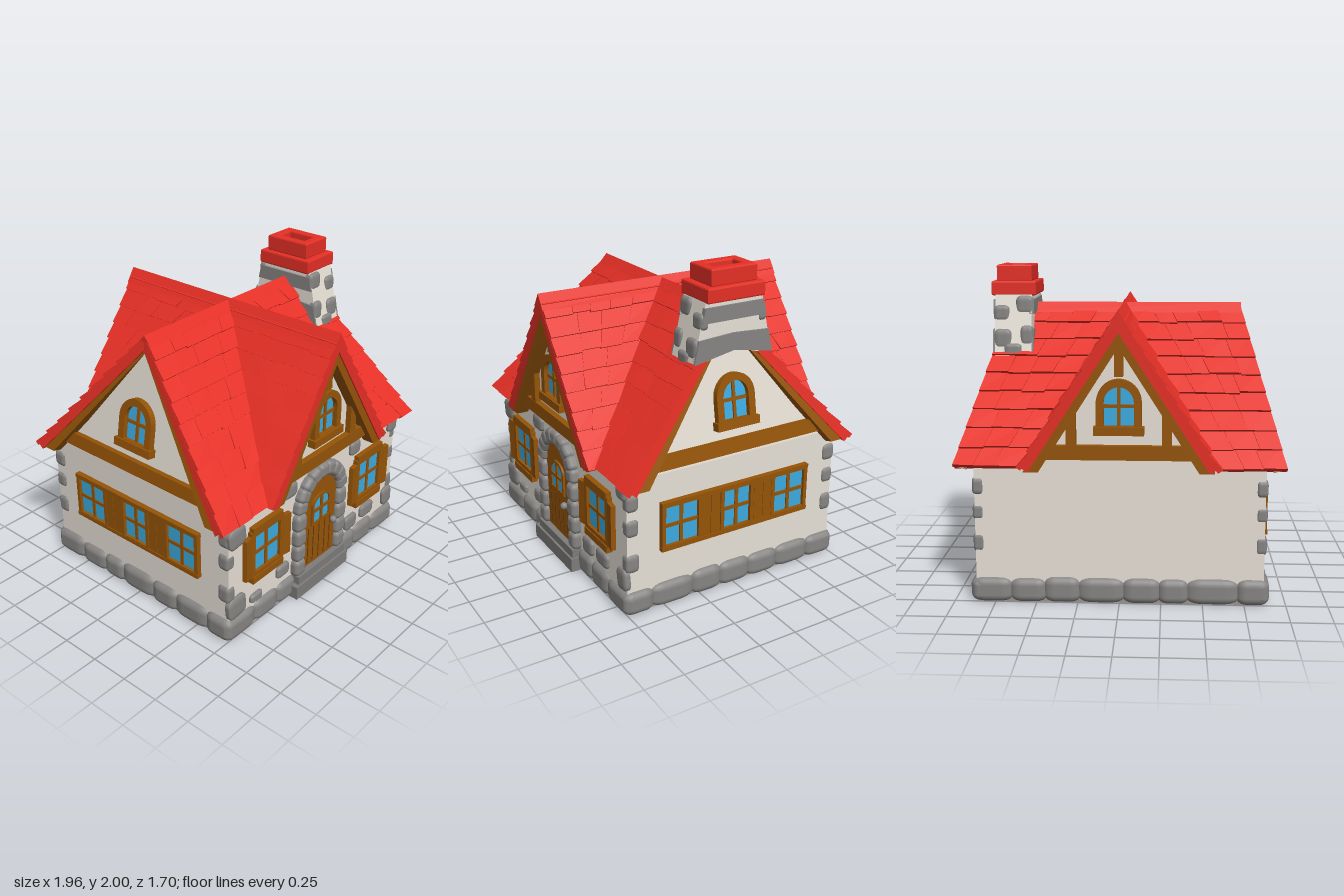
import * as THREE from 'three';
import { mergeGeometries } from 'three/addons/utils/BufferGeometryUtils.js';
import { RoundedBoxGeometry } from 'three/addons/geometries/RoundedBoxGeometry.js';

const mat = (name, color) => new THREE.MeshStandardMaterial({ name, color });
const M = {
  red: mat('roof red', 0xe52f25), brown: mat('timber brown', 0x955407), dark: mat('dark timber', 0x6b3d06),
  stone: mat('stone grey', 0x868583), step: mat('step grey', 0x7d7c7a), plaster: mat('plaster', 0xf3ece1),
  glass: mat('glass blue', 0x3cabe0), floor: mat('floor grey', 0xa0948d),
};
const V = (x, y, z) => new THREE.Vector3(x, y, z);
let seed = 7;
const rnd = () => (seed = (seed * 16807) % 2147483647) / 2147483647;
const jit = (a) => (rnd() - 0.5) * 2 * a;

function add(parent, name, geo, m, x = 0, y = 0, z = 0) {
  const mesh = new THREE.Mesh(geo, m);
  mesh.name = name;
  mesh.position.set(x, y, z);
  parent.add(mesh);
  return mesh;
}
const box = (parent, name, m, w, h, d, x, y, z) => add(parent, name, new THREE.BoxGeometry(w, h, d), m, x, y, z);
const group = (parent, name, x = 0, y = 0, z = 0, ry = 0) => {
  const g = new THREE.Group();
  g.name = name;
  g.position.set(x, y, z);
  g.rotation.set(0, ry, 0, 'YXZ');
  parent.add(g);
  return g;
};
const stoneGeo = new RoundedBoxGeometry(1, 1, 1, 3, 0.3);
function stone(parent, name, w, h, d, x, y, z, rz = 0) {
  const s = add(parent, name, stoneGeo, M.stone, x, y, z);
  s.scale.set(w, h, d);
  s.rotation.z = rz;
}
const extrude = (shape, depth) => new THREE.ExtrudeGeometry(shape, { depth, bevelEnabled: false, curveSegments: 10 });
const poly = (pts) => new THREE.Shape(pts.map((p) => new THREE.Vector2(...p)));

// Six-sided slab on four corners, facing ref: lifted by lift[i], sunk by depth
function slab(corners, ref, lift, depth) {
  const n = V().crossVectors(corners[2].clone().sub(corners[0]), corners[3].clone().sub(corners[1])).normalize();
  if (n.dot(ref) < 0) {
    n.negate();
    corners = [...corners].reverse();
    lift = [...lift].reverse();
  }
  const t = corners.map((c, i) => c.clone().addScaledVector(n, lift[i]));
  const b = corners.map((c) => c.clone().addScaledVector(n, -depth));
  const quads = [t, [...b].reverse()];
  for (let i = 0; i < 4; i++) quads.push([t[i], b[i], b[(i + 1) % 4], t[(i + 1) % 4]]);
  const g = new THREE.BufferGeometry().setFromPoints(quads.flatMap(([p, q, r, s]) => [p, q, r, p, r, s]));
  g.computeVertexNormals();
  return g;
}

// Roof lines as functions of height
const TOP = 1.74, EAVE = 0.86, ROWS = 9;
const mainZ = (y) => (TOP - y) * 0.885;
const crossX = (y) => (TOP - y) * 0.65;
const rakeX = (y) => 0.74 + (TOP - y) * 0.27;

// One roof face: a base slab and overlapping rows of shingles
function roofFace(point, from, to, ref) {
  const at = (y, f) => point(y, from(y) + (to(y) - from(y)) * f);
  const geos = [slab([at(TOP, 0), at(TOP, 1), at(EAVE, 1), at(EAVE, 0)], ref, [0, 0, 0, 0], 0.05)];
  const h = (TOP - EAVE) / ROWS;
  for (let r = 0; r < ROWS; r++) {
    const y1 = TOP - r * h, y2 = y1 - h;
    const n = Math.max(1, Math.round((to(y2) - from(y2)) / 0.15));
    const cuts = [0];
    for (let i = 1; i < n; i++) cuts.push((i + jit(0.2)) / n);
    cuts.push(1);
    for (let i = 0; i < n; i++) {
      const low = y2 - 0.008 - rnd() * 0.012, l = 0.018 + rnd() * 0.008, g = 0.0015;
      geos.push(slab([at(y1, cuts[i] + g), at(y1, cuts[i + 1] - g), at(low, cuts[i + 1] - g), at(low, cuts[i] + g)],
        ref, [0.004, 0.004, l, l + jit(0.003)], 0.01));
    }
  }
  return mergeGeometries(geos);
}
// Pitched strip capping a ridge along z
const ridgeCap = (top, hw, drop, length) =>
  extrude(poly([[0, top], [-hw, top - drop], [hw, top - drop]]), length).translate(0, 0, -length / 2);

function buildRoof(root) {
  const roof = group(root, 'roof');
  for (const sx of [-1, 1]) {
    for (const sz of [-1, 1]) {
      add(roof, 'mainRoofFace', roofFace((y, x) => V(sx * x, y, sz * mainZ(y)), crossX, rakeX, V(0, 1, sz)), M.red);
      add(roof, 'crossRoofFace', roofFace((y, z) => V(sx * crossX(y), y, sz * z), mainZ, () => 0.845, V(sx, 1, 0)), M.red);
      // Slanted rake boards of the side gables
      const p = (y, z) => V(sx * (rakeX(y) - 0.02), y, sz * z);
      add(roof, 'rakeBoard', slab([p(1.7, 0), p(0.84, 0.76), p(0.84, 0.65), p(1.645, 0)], V(sx, 0, 0), [0, 0, 0, 0], 0.06), M.brown);
    }
  }
  add(roof, 'mainRidge', ridgeCap(1.758, 0.055, 0.062, 1.49), M.red).rotation.y = Math.PI / 2;
  add(roof, 'crossRidge', ridgeCap(1.77, 0.06, 0.092, 1.7), M.red);
}

// Arched outline with an elliptical top
function arch(hw, y0, spring, rise, Type = THREE.Shape) {
  const s = new Type();
  s.moveTo(-hw, y0);
  s.lineTo(hw, y0);
  s.lineTo(hw, spring);
  s.absellipse(0, spring, hw, rise, 0, Math.PI, false);
  s.closePath();
  return s;
}
function archedWindow(parent, hw, y0, spring, rise, t, z, depth) {
  const w = group(parent, 'archedWindow', 0, 0, z);
  const frame = arch(hw + t, y0 - t, spring, rise + t);
  frame.holes.push(arch(hw, y0, spring, rise, THREE.Path));
  add(w, 'windowFrame', extrude(frame, depth), M.brown);
  add(w, 'windowGlass', extrude(arch(hw + 0.005, y0 - 0.005, spring, rise + 0.005), 0.008), M.glass);
  const h = spring + rise - y0;
  box(w, 'mullion', M.brown, 0.02, h, 0.016, 0, y0 + h / 2, 0.01);
  box(w, 'glazingBar', M.brown, hw * 2, 0.02, 0.016, 0, y0 + h / 2, 0.01);
}
function squareWindow(parent, w, h, t, x, y, z) {
  const g = group(parent, 'window', x, y, z);
  for (const s of [-1, 1]) {
    box(g, 'frameSide', M.brown, t, h + 2 * t, 0.035, s * (w + t) / 2, 0, 0.015);
    box(g, 'frameRail', M.brown, w + 2 * t, t, 0.035, 0, s * (h + t) / 2, 0.015);
  }
  box(g, 'windowGlass', M.glass, w, h, 0.008, 0, 0, 0.008);
  box(g, 'mullion', M.brown, 0.022, h, 0.016, 0, 0, 0.012);
  box(g, 'glazingBar', M.brown, w, 0.022, 0.016, 0, 0, 0.012);
}

// Gable with plaster wall, beam and arched window; local y = 0 is the wall top
function buildGable(root, name, x, z, ry, hw, tilt) {
  const g = group(root, name, x, 0.9, z, ry);
  g.rotation.x = -tilt;
  add(g, 'gableWall', extrude(poly([[-hw, -0.03], [hw, -0.03], [0, 0.8]]), 0.05), M.plaster, 0, 0, -0.05);
  box(g, 'gableBeam', M.brown, hw * 2 - 0.03, 0.085, 0.05, 0, 0.04, 0.015);
  archedWindow(g, 0.088, 0.2, 0.335, 0.095, 0.045, 0, 0.04);
  box(g, 'windowSill', M.brown, 0.295, 0.05, 0.06, 0, 0.172, 0.025);
  return g;
}

function buildFront(root) {
  const z = 0.745;
  const front = group(root, 'frontWall');
  // Door with planks, window, knob and stone arch
  add(front, 'door', extrude(arch(0.175, 0.13, 0.6, 0.175), 0.03), M.brown, 0, 0, z - 0.01);
  for (const x of [-0.115, -0.06, 0, 0.06, 0.115]) box(front, 'plankGroove', M.dark, 0.006, 0.27, 0.006, x, 0.3, z + 0.02);
  archedWindow(front, 0.077, 0.465, 0.59, 0.05, 0.018, z + 0.018, 0.016);
  add(front, 'doorKnob', new THREE.SphereGeometry(0.024, 14, 10), M.stone, 0.12, 0.4, z + 0.045);
  for (let i = 0; i < 9; i++) {
    const a = (Math.PI * (i + 0.5)) / 9;
    stone(front, 'archStone', 0.1, 0.095, 0.11, Math.cos(a) * 0.213, 0.61 + Math.sin(a) * 0.213, z, a);
  }
  for (const s of [-1, 1]) {
    for (let i = 0; i < 4; i++) stone(front, 'jambStone', 0.1 + jit(0.008), 0.124, 0.11, s * 0.213, 0.2 + i * 0.112, z);
    // Shuttered window
    squareWindow(front, 0.235, 0.26, 0.035, s * 0.54, 0.54, z);
    box(front, 'windowSill', M.brown, 0.29, 0.045, 0.06, s * 0.54, 0.362, z + 0.01);
    box(front, 'windowHead', M.brown, 0.28, 0.04, 0.05, s * 0.54, 0.713, z + 0.01);
    for (const k of [-1, 1]) {
      box(front, 'shutter', M.brown, 0.09, 0.29, 0.03, s * 0.54 + k * 0.167, 0.535, z + 0.02).rotation.y = -k * 0.15;
    }
  }
  // Steps
  box(front, 'lowerStep', M.step, 0.55, 0.09, 0.15, -0.01, 0.045, z);
  box(front, 'upperStep', M.step, 0.5, 0.06, 0.12, 0, 0.115, z);
  // Loose stones set in the plaster: x, y, width, height
  for (const [x, y, w, h] of [[-0.8, 0.73, 0.15, 0.14], [-0.31, 0.81, 0.14, 0.1], [-0.8, 0.23, 0.16, 0.15], [-0.62, 0.2, 0.11, 0.06],
    [-0.36, 0.25, 0.12, 0.09], [0.38, 0.81, 0.11, 0.1], [0.57, 0.24, 0.15, 0.1], [0.38, 0.23, 0.13, 0.11],
    [0.82, 0.23, 0.11, 0.14], [0.82, 0.8, 0.1, 0.1]]) stone(front, 'wallStone', w, h, 0.05, x, y, z, jit(0.15));
}

function buildSides(root) {
  for (const s of [-1, 1]) {
    const side = group(root, s > 0 ? 'leftWall' : 'rightWall', s * 0.865, 0, 0, s * Math.PI / 2);
    for (const x of [-0.39, 0, 0.39]) squareWindow(side, x ? 0.225 : 0.19, 0.25, 0.025, x, 0.535, 0);
    for (const x of [-0.19, 0.19]) for (const k of [-1, 1]) box(side, 'shutter', M.brown, 0.065, 0.3, 0.035, x + k * 0.034, 0.535, 0.012);
    for (const k of [-1, 1]) box(side, 'windowRail', M.brown, 1.06, 0.025, 0.04, 0, 0.535 + k * 0.145, 0.015);
    // Corner stones
    for (const [z, y, w, h] of [[0.71, 0.73, 0.08, 0.11], [0.71, 0.57, 0.08, 0.11], [0.71, 0.34, 0.09, 0.12],
      [-0.71, 0.72, 0.09, 0.11], [-0.71, 0.56, 0.08, 0.1], [-0.71, 0.37, 0.08, 0.12]]) {
      stone(root, 'cornerStone', 0.07, h, w, s * 0.845, y, z);
    }
    buildGable(root, s > 0 ? 'leftGable' : 'rightGable', s * 0.865, 0, s * Math.PI / 2, 0.66, 0.165);

    // Front and back gables with posts and chevron boards
    const g = buildGable(root, s > 0 ? 'frontGable' : 'backGable', 0, s * 0.755, s > 0 ? 0 : Math.PI, 0.5, 0);
    for (const x of [-0.28, 0.28]) box(g, 'gablePost', M.brown, 0.06, 0.3, 0.045, x, 0.2, 0.015);
    box(g, 'kingPost', M.brown, 0.05, 0.2, 0.045, 0, 0.59, 0.015);
    add(g, 'bargeBoards', extrude(poly([[0, 0.79], [-0.56, -0.07], [-0.47, -0.07], [0, 0.665], [0.47, -0.07], [0.56, -0.07]]), 0.08), M.brown);
  }
}

function buildBase(root) {
  const base = group(root, 'stoneBase');
  box(base, 'foundation', M.floor, 1.72, 0.13, 1.48, 0, 0.065, 0);
  const run = (n, half, place) => {
    const cuts = [-half];
    for (let i = 1; i < n; i++) cuts.push(-half + (2 * half * (i + jit(0.2))) / n);
    cuts.push(half);
    for (let i = 0; i < n; i++) place((cuts[i] + cuts[i + 1]) / 2, cuts[i + 1] - cuts[i] + 0.02, 0.157 + jit(0.01));
  };
  for (const s of [-1, 1]) {
    run(8, 0.89, (c, w, h) => stone(base, 'baseStone', w, h, 0.15, c, h / 2, s * 0.7));
    run(7, 0.765, (c, w, h) => stone(base, 'baseStone', 0.15, h, w, s * 0.825, h / 2, c));
  }
}

function buildChimney(root) {
  const c = group(root, 'chimney', 0.69, 0, 0);
  const half = (y) => 0.275 - (y - 1.44) * 0.218;
  // Stack astride the ridge, with bands of stone on both sides
  const wall = (pts, depth, m, name, x) => add(c, name, extrude(poly(pts), depth).translate(0, 0, -depth / 2).rotateY(Math.PI / 2), m, x);
  wall([[-half(1.44), 1.44], [0, 1.52], [half(1.44), 1.44], [half(1.83), 1.83], [-half(1.83), 1.83]], 0.23, M.plaster, 'chimneyStack', 0);
  for (const s of [-1, 1]) {
    const lo = half(1.46), mid = half(1.6), b = half(1.695), t = half(1.785);
    wall([[-lo, 1.46], [0, 1.51], [lo, 1.46], [mid, 1.6], [0, 1.615], [-mid, 1.6]], 0.03, M.stone, 'stoneBand', s * 0.112);
    wall([[-b, 1.695], [b, 1.695], [t, 1.785], [-t, 1.785]], 0.03, M.stone, 'stoneBand', s * 0.112);
    // Single stones front and back
    for (const [x, y, w, h] of [[-0.07, 1.75, 0.11, 0.12], [0.075, 1.7, 0.1, 0.1], [0.065, 1.54, 0.11, 0.13], [-0.085, 1.56, 0.08, 0.13], [0, 1.475, 0.11, 0.08]]) {
      stone(c, 'chimneyStone', w, h, 0.06, x, y, s * (half(y) - 0.018));
    }
  }
  // Hollow two-tier cap
  const ring = (hx, hz, t, y, h) => {
    const rect = (a, b) => [[-a, -b], [a, -b], [a, b], [-a, b]];
    const shape = poly(rect(hx, hz));
    shape.holes.push(poly(rect(hx - t, hz - t)));
    const geo = new THREE.ExtrudeGeometry(shape, { depth: h - 0.02, bevelThickness: 0.01, bevelSize: 0.01, bevelSegments: 2 });
    add(c, 'chimneyCap', geo.rotateX(-Math.PI / 2), M.red, 0, y + 0.01, 0);
  };
  ring(0.13, 0.185, 0.07, 1.81, 0.09);
  ring(0.1, 0.145, 0.04, 1.895, 0.105);
  box(c, 'capFloor', M.red, 0.18, 0.02, 0.26, 0, 1.89, 0);
}

export function createModel() {
  const root = new THREE.Group();
  root.name = 'cottage';
  box(root, 'walls', M.plaster, 1.73, 0.79, 1.49, 0, 0.505, 0);
  buildBase(root);
  buildFront(root);
  buildSides(root);
  buildRoof(root);
  buildChimney(root);
  return root;
}
